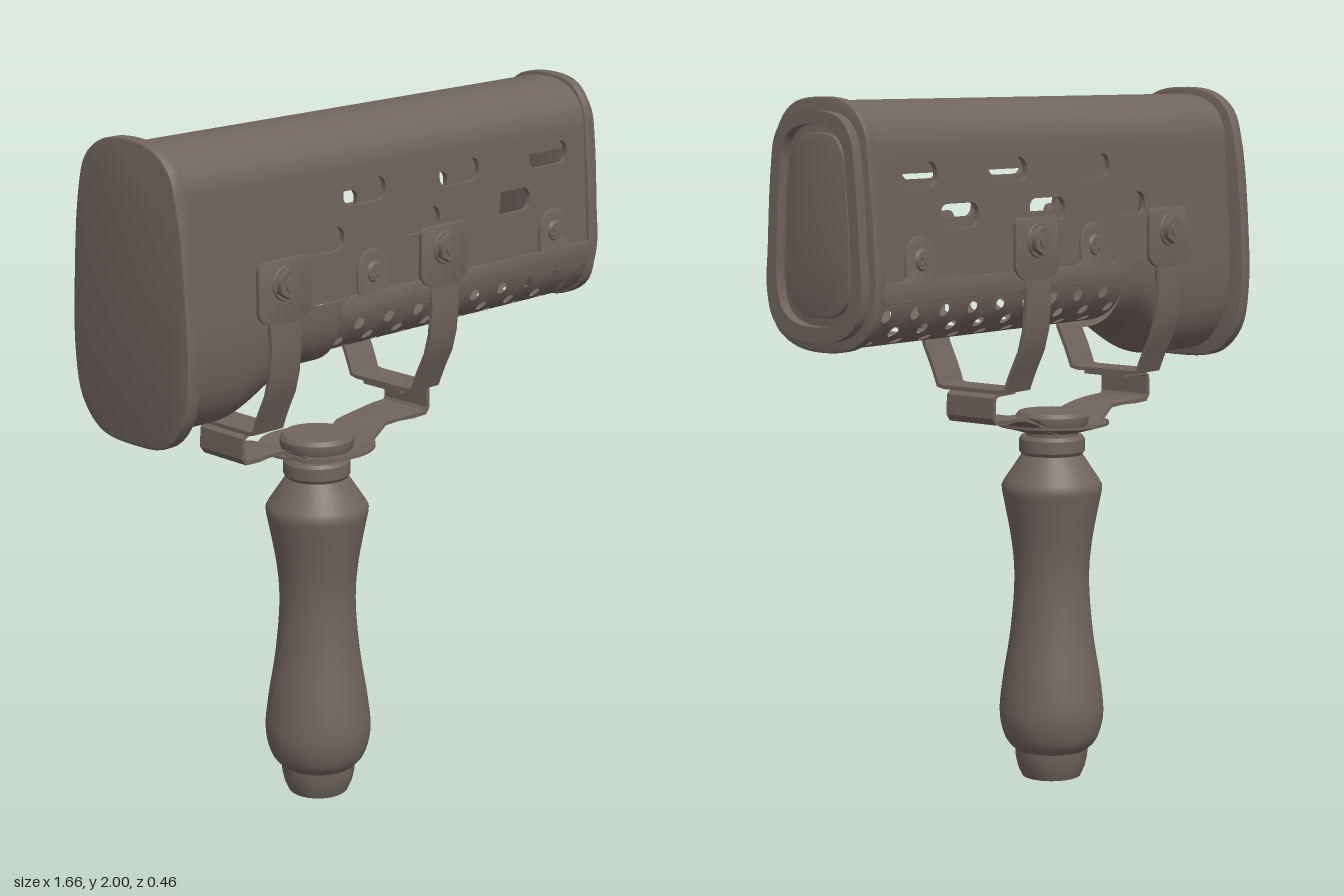
import * as THREE from 'three';
import { mergeVertices, toCreasedNormals } from 'three/addons/utils/BufferGeometryUtils.js';

const material = new THREE.MeshStandardMaterial({ color: 0x71655e, side: THREE.DoubleSide });
const HANDLE_X = -0.157, SEAM_Y = 1.51, ROOF_Y = 1.84;
const sideZ = (y) => 0.182 - (y - SEAM_Y) * 0.067; // sides lean in towards the top

function add(parent, name, geometry, x = 0, y = 0, z = 0) {
  const mesh = new THREE.Mesh(geometry, material);
  mesh.name = name;
  mesh.position.set(x, y, z);
  parent.add(mesh);
  return mesh;
}

const vec = (pts) => pts.map(([a, b]) => new THREE.Vector2(a, b));

function roundedRect(cx, cy, w, h, r, Type = THREE.Shape) {
  const p = new Type(), a = w / 2 - r, b = h / 2 - r;
  p.absarc(cx + a, cy + b, r, 0, Math.PI / 2);
  p.absarc(cx - a, cy + b, r, Math.PI / 2, Math.PI);
  p.absarc(cx - a, cy - b, r, Math.PI, Math.PI * 1.5);
  p.absarc(cx + a, cy - b, r, Math.PI * 1.5, Math.PI * 2);
  p.closePath();
  return p;
}

function extrude(shape, depth, bevel = 0) {
  const g = new THREE.ExtrudeGeometry(shape, {
    depth: depth - 2 * bevel, curveSegments: 8, bevelEnabled: bevel > 0,
    bevelSize: bevel, bevelOffset: -bevel, bevelThickness: bevel, bevelSegments: 2,
  });
  g.translate(0, 0, bevel);
  return toCreasedNormals(g, 0.6);
}

// Extrusion of a z-y outline along x, starting at x0
const extrudeX = (shape, x0, depth, bevel) =>
  extrude(shape, depth, bevel).rotateY(Math.PI / 2).translate(x0, 0, 0);

// Smooth closed outline from the right half, listed top to bottom
function outline(half, Type = THREE.Shape) {
  const all = [...half, ...half.slice(1, -1).reverse().map(([a, b]) => [-a, b])];
  const curve = new THREE.CatmullRomCurve3(all.map(([a, b]) => new THREE.Vector3(a, b, 0)), true);
  return new Type(curve.getPoints(72).slice(0, -1).map((p) => new THREE.Vector2(p.x, p.y)));
}

// Thin bent strip: offsets a 2D path to both sides
function ribbon(pts, thickness) {
  const v = vec(pts);
  const offset = (s) => v.map((p, i) => {
    const a = v[Math.max(i - 1, 0)], b = v[Math.min(i + 1, v.length - 1)];
    const d = b.clone().sub(a).normalize();
    return new THREE.Vector2(p.x - d.y * s, p.y + d.x * s);
  });
  return new THREE.Shape([...offset(thickness / 2), ...offset(-thickness / 2).reverse()]);
}

// Grid surface from a rule fn(u, v) -> [x, y, z]
function surface(nu, nv, fn) {
  const pos = [], idx = [];
  for (let i = 0; i <= nu; i++) for (let j = 0; j <= nv; j++) {
    pos.push(...fn(i / nu, j / nv));
    if (i < nu && j < nv) {
      const a = i * (nv + 1) + j, b = a + nv + 1;
      idx.push(a, b, a + 1, b, b + 1, a + 1);
    }
  }
  const g = new THREE.BufferGeometry();
  g.setAttribute('position', new THREE.Float32BufferAttribute(pos, 3));
  g.setIndex(idx);
  g.computeVertexNormals();
  return g;
}

// Superelliptic arc over half a turn: returns [z, y]
function arc(t, w, h, n) {
  const c = Math.cos(Math.PI * t), s = Math.max(0, Math.sin(Math.PI * t));
  return [Math.sign(c) * w * Math.abs(c) ** (2 / n), h * s ** (2 / n)];
}

// Curved cover with a chequered pattern of round holes
function perforatedCover(x0, x1, cols, rows) {
  const section = new THREE.CatmullRomCurve3(Array.from({ length: 49 }, (_, i) => {
    const [z, h] = arc(i / 48, 0.189, SEAM_Y - 1.335, 2.5);
    return new THREE.Vector3(0, SEAM_Y - h, z);
  }));
  const du = (x1 - x0) / cols, dv = section.getLength() / rows, pos = [];
  for (let c = 0; c < cols; c++) for (let r = 0; r < rows; r++) {
    const hole = (c + r) % 2 === 0 && r > 0 && r < rows - 1 && r !== (rows - 1) / 2;
    const point = (i, inner) => {
      const a = (i / 16) * Math.PI * 2, ca = Math.cos(a), sa = Math.sin(a);
      const k = 0.5 / Math.max(Math.abs(ca), Math.abs(sa)), rad = hole ? 0.018 : 0;
      const u = inner ? ca * rad : ca * k * du, v = inner ? sa * rad / dv : sa * k;
      const p = section.getPointAt(Math.min(1, Math.max(0, (r + 0.5 + v) / rows)));
      return [x0 + (c + 0.5) * du + u, p.y, p.z];
    };
    for (let i = 0; i < 16; i++) {
      const a = point(i, 0), b = point(i + 1, 0), d = point(i, 1), e = point(i + 1, 1);
      pos.push(...a, ...d, ...b);
      if (hole) pos.push(...b, ...d, ...e);
    }
  }
  const g = new THREE.BufferGeometry();
  g.setAttribute('position', new THREE.Float32BufferAttribute(pos, 3));
  const merged = mergeVertices(g, 1e-4);
  merged.computeVertexNormals();
  return merged;
}

// Moves a flat plate onto the leaning side wall
function lean(g, lift) {
  const p = g.attributes.position;
  for (let i = 0; i < p.count; i++) p.setZ(i, p.getZ(i) + sideZ(p.getY(i)) + lift);
  return g;
}

// One flank: slotted wall, cover flange with screw tabs, strap pads with bolts
function buildSide() {
  const side = new THREE.Group();
  const wall = new THREE.Shape(vec([[-0.79, SEAM_Y], [0.77, SEAM_Y], [0.77, ROOF_Y], [-0.79, ROOF_Y]]));
  for (let i = 0; i < 3; i++) {
    wall.holes.push(roundedRect(-0.297 + i * 0.371, 1.675, 0.155, 0.066, 0.028, THREE.Path));
    wall.holes.push(roundedRect(-0.135 + i * 0.371, 1.788, 0.16, 0.066, 0.028, THREE.Path));
  }
  add(side, 'slottedWall', lean(extrude(wall, 0.015), -0.015));

  const flange = new THREE.Shape();
  flange.moveTo(-0.25, 1.46);
  flange.lineTo(0.77, 1.46);
  flange.lineTo(0.77, 1.515);
  for (const x of [0.615, -0.12]) {
    flange.lineTo(x + 0.085, 1.515);
    flange.quadraticCurveTo(x + 0.062, 1.515, x + 0.062, 1.535);
    flange.absarc(x, 1.57, 0.062, 0, Math.PI, false);
    flange.lineTo(x - 0.062, 1.515);
  }
  flange.quadraticCurveTo(-0.25, 1.515, -0.25, 1.46);
  add(side, 'coverFlange', lean(extrude(flange, 0.012, 0.003), -0.003));

  for (const x of [-0.12, 0.615]) {
    const screw = new THREE.Group();
    screw.name = 'screw';
    screw.position.set(x, 1.567, 0.187);
    add(screw, 'screwHead', new THREE.CylinderGeometry(0.025, 0.034, 0.014, 20).rotateX(Math.PI / 2));
    for (const a of [1, -1])
      add(screw, 'crossMark', new THREE.BoxGeometry(0.034, 0.008, 0.004), 0, 0, 0.008).rotation.z = a * Math.PI / 4;
    side.add(screw);
  }

  for (const x of [-0.46, 0.147]) {
    const pad = new THREE.Shape();
    pad.moveTo(-0.053, 1.45);
    pad.lineTo(0.053, 1.45);
    pad.lineTo(0.055, 1.49);
    pad.quadraticCurveTo(0.094, 1.5, 0.094, 1.53);
    pad.absarc(0.074, 1.64, 0.02, 0, Math.PI / 2);
    pad.absarc(-0.074, 1.64, 0.02, Math.PI / 2, Math.PI);
    pad.lineTo(-0.094, 1.53);
    pad.quadraticCurveTo(-0.094, 1.5, -0.055, 1.49);
    add(side, 'strapPad', extrude(pad, 0.012, 0.002), x, 0, 0.185);
    const parts = [['washer', 0.048, 0.006, 24, 0.199], ['hexBolt', 0.042, 0.018, 6, 0.209], ['boltTip', 0.02, 0.006, 16, 0.219]];
    for (const [name, r, h, n, z] of parts)
      add(side, name, new THREE.CylinderGeometry(r * 0.94, r, h, n).rotateX(Math.PI / 2), x, 1.595, z);
  }
  return side;
}

export function createModel() {
  const model = new THREE.Group();
  const left = buildSide(), right = buildSide();
  left.name = 'frontSide';
  right.name = 'backSide';
  right.scale.z = -1;
  model.add(left, right);

  // Housing: roof, inner ceiling, deep rear belly and perforated cover
  add(model, 'roof', surface(1, 32, (u, v) => {
    const [z, h] = arc(v, sideZ(ROOF_Y), 0.14, 2.3);
    return [-0.79 + 1.56 * u, ROOF_Y + h, z];
  }));
  add(model, 'innerCeiling', new THREE.BoxGeometry(1.5, 0.07, 0.27), 0, 1.825, 0);
  add(model, 'belly', surface(36, 40, (u, v) => {
    const x = -0.79 + 0.54 * u;
    const k = THREE.MathUtils.smoothstep(x, -0.6, -0.34);
    const flare = 0.008 * Math.exp(-(((x + 0.27) / 0.06) ** 2));
    const [z, h] = arc(v, 0.182 + flare, SEAM_Y - (1.21 + 0.105 * k), 2.5);
    return [x, SEAM_Y - h, z];
  }));
  add(model, 'perforatedCover', perforatedCover(-0.255, 0.775, 18, 11));

  // End plates
  add(model, 'rearPlate', extrudeX(outline([[0, 2], [0.1, 1.985], [0.165, 1.935], [0.196, 1.84], [0.222, 1.6],
    [0.227, 1.4], [0.203, 1.28], [0.13, 1.205], [0, 1.188]]), -0.83, 0.042, 0.006));
  add(model, 'frontCollar', extrudeX(outline([[0, 1.99], [0.1, 1.972], [0.153, 1.91], [0.17, 1.8], [0.187, 1.6],
    [0.19, 1.48], [0.168, 1.39], [0.1, 1.342], [0, 1.328]]), 0.765, 0.034, 0.005));
  const rim = outline([[0, 1.955], [0.09, 1.94], [0.132, 1.89], [0.148, 1.8], [0.162, 1.6], [0.167, 1.49],
    [0.145, 1.41], [0.09, 1.37], [0, 1.358]]);
  const opening = [[0, 1.92], [0.07, 1.908], [0.105, 1.865], [0.118, 1.78], [0.13, 1.6], [0.13, 1.5],
    [0.112, 1.44], [0.07, 1.408], [0, 1.398]];
  rim.holes.push(outline(opening, THREE.Path));
  add(model, 'frontRim', extrudeX(rim, 0.798, 0.032));
  const floor = opening.map(([z, y]) => [z * 0.84, 1.66 + (y - 1.66) * 0.92]);
  add(model, 'frontPanel', extrudeX(outline(floor), 0.795, 0.017, 0.004));

  // Two straps passing under the housing
  const leg = [[0.191, 1.5], [0.194, 1.42], [0.188, 1.35], [0.172, 1.29], [0.145, 1.235], [0.13, 1.2], [0.122, 1.178], [0.1, 1.174]];
  const strap = ribbon([...leg, ...leg.slice().reverse().map(([z, y]) => [-z, y])], 0.011);
  for (const x of [-0.46, 0.147]) add(model, 'strap', extrudeX(strap, x - 0.053, 0.106));

  // Bracket: looped ends, narrow waist, dished centre
  const arm = [[0.253, 1.165], [0.34, 1.165], [0.355, 1.155], [0.357, 1.1], [0.347, 1.086], [0.3, 1.084], [0.25, 1.084],
    [0.2, 1.08], [0.16, 1.066], [0.12, 1.042], [0.08, 1.032]];
  const bracket = extrude(ribbon([...arm, ...arm.slice().reverse().map(([x, y]) => [-x, y])], 0.012), 0.17);
  bracket.translate(0, 0, -0.085);
  const bp = bracket.attributes.position;
  for (let i = 0; i < bp.count; i++)
    bp.setZ(i, bp.getZ(i) * (1 - 0.25 * Math.exp(-(((Math.abs(bp.getX(i)) - 0.22) / 0.04) ** 2))));
  add(model, 'bracket', toCreasedNormals(bracket, 0.6), HANDLE_X);

  const turned = (name, pts) =>
    add(model, name, toCreasedNormals(new THREE.LatheGeometry(vec(pts), 40), 0.6), HANDLE_X, 0, -0.004);
  turned('bracketDish', [[0, 1.022], [0.09, 1.022], [0.165, 1.043], [0.165, 1.051], [0.09, 1.036], [0, 1.036]]);
  turned('topDisc', [[0.098, 1.036], [0.105, 1.05], [0.105, 1.068], [0.096, 1.08], [0, 1.082]]);

  // Turned handle with collar and foot
  turned('neck', [[0.075, 0.95], [0.075, 1.03]]);
  turned('collar', [[0, 0.955], [0.088, 0.955], [0.095, 0.965], [0.095, 1], [0.088, 1.01], [0, 1.01]]);
  const grip = new THREE.SplineCurve(vec([[0.108, 0.085], [0.136, 0.12], [0.152, 0.19], [0.143, 0.29], [0.121, 0.43],
    [0.109, 0.58], [0.117, 0.7], [0.145, 0.85]])).getPoints(40).map((p) => [p.x, p.y]);
  turned('grip', [...grip, [0.146, 0.865], [0.138, 0.88], [0.095, 0.945], [0.085, 0.958], [0, 0.958]]);
  turned('foot', [[0, 0.012], [0.07, 0.012], [0.075, 0], [0.086, 0.003], [0.098, 0.03], [0.105, 0.06], [0.107, 0.09]]);
  return model;
}
